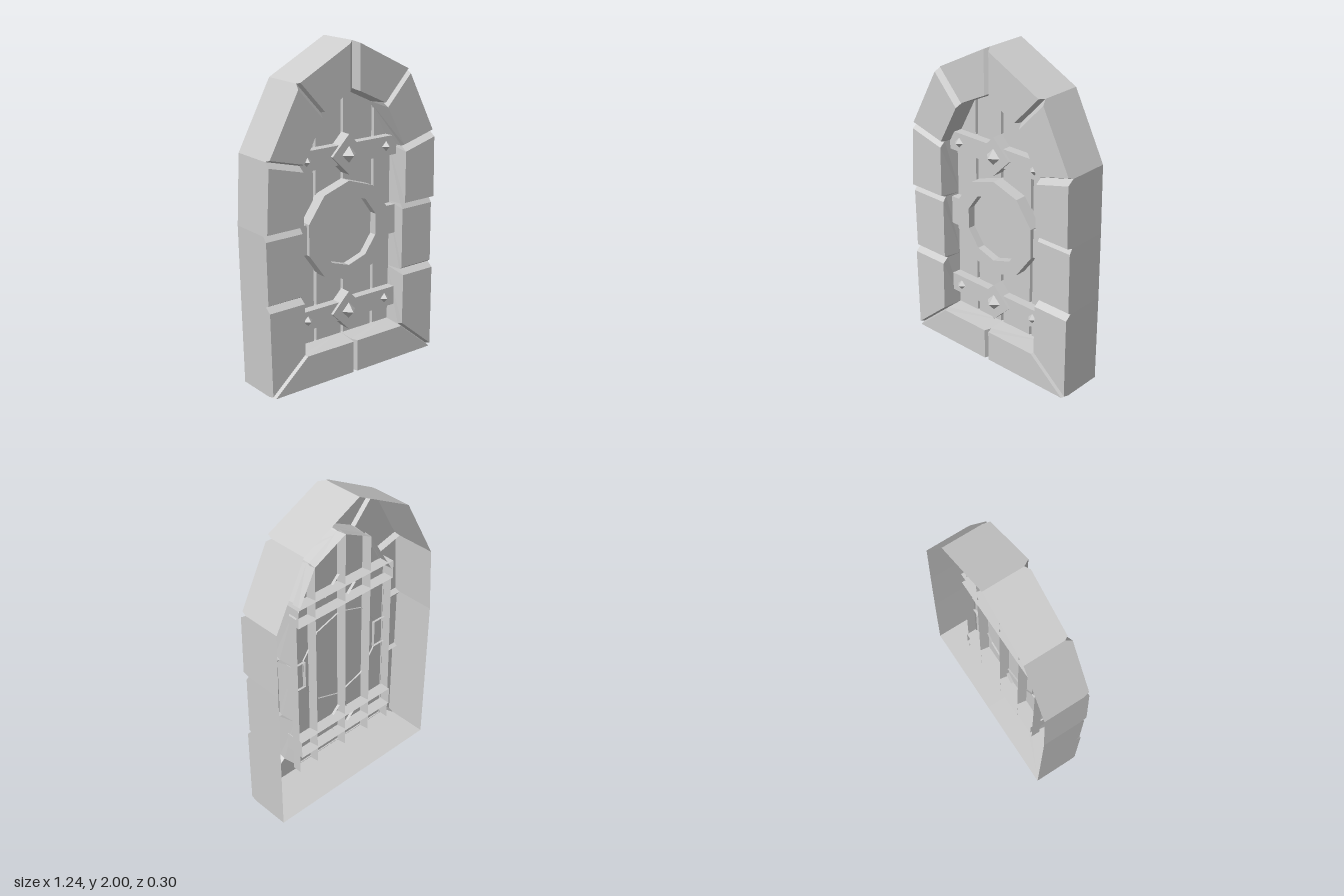
import * as THREE from 'three';

const material = new THREE.MeshStandardMaterial({
  color: 0xcccccc, flatShading: true, side: THREE.DoubleSide,
});

// Flat mesh from convex polygons, each listed counter-clockwise
function polyMesh(name, polygons) {
  const pos = [];
  for (const p of polygons) {
    for (let i = 1; i < p.length - 1; i++) pos.push(...p[0], ...p[i], ...p[i + 1]);
  }
  const geo = new THREE.BufferGeometry();
  geo.setAttribute('position', new THREE.Float32BufferAttribute(pos, 3));
  geo.computeVertexNormals();
  const mesh = new THREE.Mesh(geo, material);
  mesh.name = name;
  return mesh;
}

// Joins successive loops with quads and caps the last; the back stays open
function loft(name, loops) {
  const polygons = [loops[loops.length - 1]];
  for (let k = 0; k < loops.length - 1; k++) {
    const a = loops[k], b = loops[k + 1];
    a.forEach((p, i) => {
      const j = (i + 1) % a.length;
      polygons.push([p, a[j], b[j], b[i]]);
    });
  }
  return polyMesh(name, polygons);
}

const at = (points, z) => points.map(([x, y]) => [x, y, z]);
const prism = (name, points, z0, z1) => loft(name, [at(points, z0), at(points, z1)]);
const rect = (x0, x1, y0, y1) => [[x0, y0], [x1, y0], [x1, y1], [x0, y1]];

function ngon(n, r, y) {
  return Array.from({ length: n }, (_, i) => {
    const a = Math.PI / 2 + (i * 2 * Math.PI) / n;
    return [r * Math.cos(a), y + r * Math.sin(a)];
  });
}

// Four-sided pointed stud facing forward
function stud(name, x, y, z, r, h) {
  const mesh = new THREE.Mesh(new THREE.ConeGeometry(r, h, 4, 1, true), material);
  mesh.rotation.x = Math.PI / 2;
  mesh.position.set(x, y, z + h / 2);
  mesh.name = name;
  return mesh;
}

// Frame joints, counter-clockwise: outer x, y, inner x, y
const joints = [
  [0.615, 0, 0.375, 0.2], [0.615, 0.56, 0.38, 0.56], [0.612, 0.98, 0.38, 0.98],
  [0.605, 1.4, 0.38, 1.34], [0.4, 1.8, 0.23, 1.62], [0, 2, 0, 1.73],
  [-0.385, 1.8, -0.22, 1.62], [-0.6, 1.4, -0.37, 1.34], [-0.62, 0.98, -0.37, 0.98],
  [-0.612, 0.56, -0.37, 0.56], [-0.6, 0, -0.37, 0.2], [0, 0, 0, 0.2],
];
const stoneFronts = [0.143, 0.125, 0.147, 0.138, 0.147, 0.127, 0.143, 0.143, 0.13, 0.143, 0.15, 0.15];

// One hollow stone with sloped ends that form the grooves between neighbours
function stone(i) {
  const a = joints[i], b = joints[(i + 1) % joints.length];
  const zf = stoneFronts[i], zg = 0.105, zb = -0.15, zi = 0;
  const rising = i < 5, bottom = i > 9;
  const s = bottom ? 0.015 : rising ? 0.014 : 0.03;
  const e = bottom ? 0.015 : rising ? 0.03 : 0.014;
  const inset = (p, q, d) => {
    const v = new THREE.Vector2(q[0] - p[0], q[1] - p[1]).setLength(d);
    return [p[0] + v.x, p[1] + v.y, zf];
  };
  const outer = (j, z) => [j[0], j[1], z];
  const inner = (j, z) => [j[2], j[3], z];
  const innerBack = (j) => [j[0] + (j[2] - j[0]) * 1.05, j[1] + (j[3] - j[1]) * 1.05, zi];
  const oa = [a[0], a[1]], ob = [b[0], b[1]], ia = [a[2], a[3]], ib = [b[2], b[3]];
  const os = inset(oa, ob, s), oe = inset(ob, oa, e);
  const is = inset(ia, ib, s), ie = inset(ib, ia, e);
  return polyMesh('frameStone', [
    [is, os, oe, ie],
    [outer(a, zg), os, is, inner(a, zg)],
    [inner(b, zg), ie, oe, outer(b, zg)],
    [outer(a, zb), outer(b, zb), outer(b, zg), oe, os, outer(a, zg)],
    [innerBack(b), innerBack(a), inner(a, zg), is, ie, inner(b, zg)],
  ]);
}

export function createModel() {
  const model = new THREE.Group();
  model.name = 'archedDoor';

  // Stone surround
  const frame = new THREE.Group();
  frame.name = 'stoneFrame';
  joints.forEach((_, i) => frame.add(stone(i)));
  model.add(frame);

  // Planks following the arch, with grooves between them
  const planks = new THREE.Group();
  planks.name = 'planks';
  const edges = [[-0.37, 1.34], [-0.197, 1.63], [0.003, 1.73], [0.235, 1.615], [0.38, 1.34]];
  for (let i = 0; i < 4; i++) {
    const [x0, t0] = edges[i], [x1, t1] = edges[i + 1];
    const l = i > 0 ? 0.01 : 0, r = i < 3 ? 0.01 : 0;
    const back = [[x0, 0.195], [x1, 0.195], [x1, t1], [x0, t0]];
    const front = [[x0 + l, 0.195], [x1 - r, 0.195], [x1 - r, t1], [x0 + l, t0]];
    planks.add(loft('plank', [at(back, -0.05), at(front, 0.01)]));
  }
  model.add(planks);

  // Upper and lower straps with diamond plates and studs
  for (const y of [1.342, 0.378]) {
    const strap = new THREE.Group();
    strap.name = 'strap';
    strap.add(
      prism('strapBar', rect(-0.37, 0.375, y - 0.059, y + 0.059), -0.064, 0.065),
      prism('diamondPlate', ngon(4, 0.12, y), -0.008, 0.083),
      stud('centreStud', 0, y, 0.083, 0.05, 0.045),
      stud('sideStud', -0.29, y, 0.065, 0.031, 0.03),
      stud('sideStud', 0.295, y, 0.065, 0.031, 0.03),
    );
    model.add(strap);
  }

  // Middle bar and ten-sided boss with a sunken centre
  model.add(prism('middleBar', rect(-0.37, 0.375, 0.787, 0.968), -0.005, 0.06));
  const rim = ngon(10, 0.305, 0.88), hole = ngon(10, 0.213, 0.88);
  model.add(loft('centreBoss', [at(rim, 0), at(rim, 0.083), at(hole, 0.083), at(hole, 0.065 - 0.03)]));
  // The bar stops at the boss, so the sunken disc sits just in front of it
  model.getObjectByName('middleBar').removeFromParent();
  for (const [x0, x1] of [[-0.37, -0.28], [0.28, 0.375]]) {
    model.add(prism('middleBar', rect(x0, x1, 0.787, 0.968), -0.005, 0.06));
  }
  return model;
}
